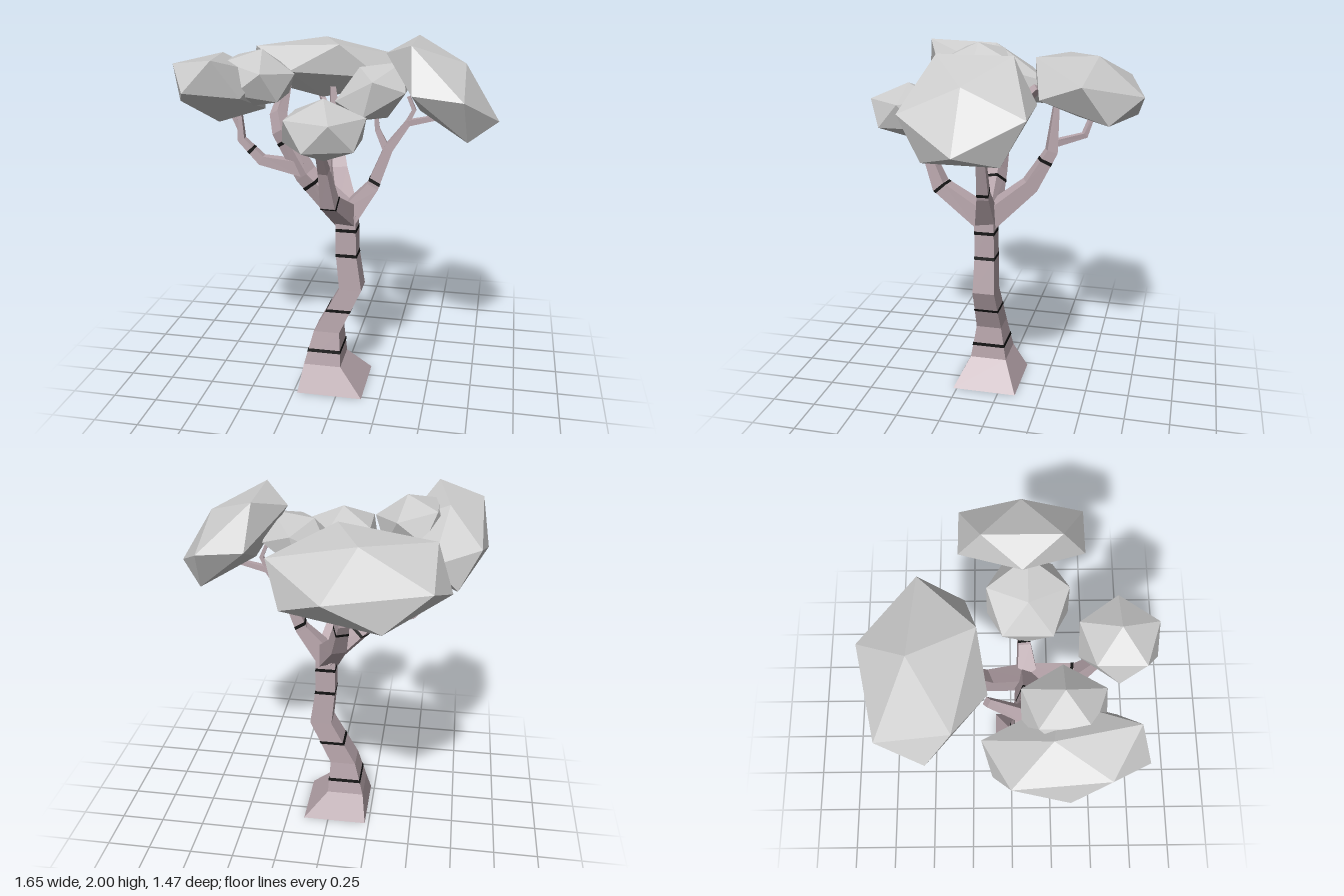
import * as THREE from 'three';

const bark = new THREE.MeshStandardMaterial({ color: 0xb8a6ac, flatShading: true });
const bandBlack = new THREE.MeshStandardMaterial({ color: 0x111111, flatShading: true });
const leaf = new THREE.MeshStandardMaterial({ color: 0xcccccc, flatShading: true });
const V = (x, y, z) => new THREE.Vector3(x, y, z);

// Closed skin over a row of four-cornered sections
function loft(name, sections, material) {
  const index = [];
  for (let i = 0; i < sections.length - 1; i++) {
    for (let j = 0; j < 4; j++) {
      const a = i * 4 + j, b = i * 4 + (j + 1) % 4;
      index.push(a, b, b + 4, a, b + 4, a + 4);
    }
  }
  const e = (sections.length - 1) * 4;
  index.push(0, 2, 1, 0, 3, 2, e, e + 1, e + 2, e, e + 2, e + 3);
  const geometry = new THREE.BufferGeometry().setFromPoints(sections.flat());
  geometry.setIndex(index);
  geometry.computeVertexNormals();
  const mesh = new THREE.Mesh(geometry, material);
  mesh.name = name;
  return mesh;
}

// Square limb through [x, y, z, half width]; bands are [segment, position along it]
function limb(name, path, bands = [], level = false) {
  const group = new THREE.Group();
  group.name = name;
  const pts = path.map(([x, y, z]) => V(x, y, z));
  const last = pts.length - 1;
  const run = pts[last].clone().sub(pts[0]);
  const side = level ? V(1, 0, 0) : V(run.z, 0, -run.x).normalize();
  const sections = pts.map((p, i) => {
    const t = V(0, 1, 0);
    if (!level) {
      t.set(0, 0, 0);
      if (i > 0) t.add(p.clone().sub(pts[i - 1]).normalize());
      if (i < last) t.add(pts[i + 1].clone().sub(p).normalize());
      t.normalize();
    }
    const a = side.clone().addScaledVector(t, -side.dot(t)).normalize();
    const b = t.clone().cross(a);
    const w = path[i][3];
    return [[1, 1], [-1, 1], [-1, -1], [1, -1]].map(([u, v]) =>
      p.clone().addScaledVector(a, u * w).addScaledVector(b, v * w));
  });
  group.add(loft(name + 'Wood', sections, bark));

  // Dark bark rings sit just proud of the wood
  for (const [s, t] of bands) {
    const d = 0.009 / pts[s].distanceTo(pts[s + 1]);
    const ring = [t - d, t + d].map((k) => {
      const centre = pts[s].clone().lerp(pts[s + 1], k);
      return sections[s].map((c, j) =>
        c.clone().lerp(sections[s + 1][j], k).sub(centre).multiplyScalar(1.03).add(centre));
    });
    group.add(loft('barkRing', ring, bandBlack));
  }
  return group;
}

// Faceted leaf clump: an icosahedron standing on a corner, squashed and tilted
function clump(name, centre, size, tiltX = 0, tiltZ = 0) {
  const geometry = new THREE.IcosahedronGeometry(1, 0);
  geometry.rotateZ(-Math.atan(2 / (1 + Math.sqrt(5))));
  geometry.scale(...size);
  geometry.computeVertexNormals();
  const mesh = new THREE.Mesh(geometry, leaf);
  mesh.name = name;
  mesh.position.set(...centre);
  mesh.rotation.set(THREE.MathUtils.degToRad(tiltX), 0, THREE.MathUtils.degToRad(tiltZ));
  return mesh;
}

export function createModel() {
  const tree = new THREE.Group();
  tree.name = 'tree';

  // Crooked trunk with a flared foot
  tree.add(limb('trunk', [
    [-0.04, 0, 0.085, 0.187], [-0.095, 0.15, 0.09, 0.107], [-0.075, 0.35, 0.088, 0.074],
    [0.06, 0.62, 0.088, 0.063], [0.035, 0.83, 0.088, 0.057], [0.033, 1.06, 0.09, 0.055],
  ], [[1, 0.43], [2, 0.5], [3, 0.97], [4, 0.62]], true));

  // Main branches
  const fork = [0.03, 1.04, 0.09, 0.058];
  tree.add(limb('frontBranch', [fork, [-0.01, 1.21, 0.365, 0.04],
    [-0.02, 1.4, 0.44, 0.025], [-0.02, 1.55, 0.56, 0.015]], [[0, 0.96]]));
  tree.add(limb('leftBranch', [fork, [0.17, 1.22, 0.07, 0.033], [0.25, 1.43, 0.06, 0.025],
    [0.35, 1.57, 0.05, 0.017], [0.52, 1.61, 0.05, 0.012]], [[1, 0.12]]));
  tree.add(limb('rightBranch', [fork, [-0.2, 1.27, 0.085, 0.045], [-0.33, 1.5, 0.08, 0.038],
    [-0.36, 1.58, 0.03, 0.034], [-0.35, 1.72, -0.12, 0.02]], [[0, 0.8], [1, 0.76]]));
  tree.add(limb('backBranch', [fork, [-0.06, 1.23, -0.14, 0.042],
    [-0.1, 1.42, -0.25, 0.03], [-0.12, 1.68, -0.27, 0.015]], [[1, 0.7]]));
  tree.add(limb('rightSideBranch', [[-0.21, 1.3, 0.085, 0.04], [-0.44, 1.34, 0.1, 0.026],
    [-0.55, 1.45, 0.1, 0.02], [-0.56, 1.66, 0.1, 0.011]], [[1, 0.5]]));

  // Twigs
  const twigs = {
    frontTwig: [[-0.02, 1.37, 0.43, 0.02], [-0.01, 1.49, 0.39, 0.015], [0, 1.58, 0.41, 0.011]],
    leftInnerTwig: [[0.24, 1.42, 0.06, 0.02], [0.19, 1.53, 0.065, 0.014], [0.18, 1.63, 0.07, 0.01]],
    leftOuterTwig: [[0.34, 1.56, 0.05, 0.014], [0.38, 1.64, 0.05, 0.011], [0.35, 1.71, 0.05, 0.009]],
    rightTwig: [[-0.55, 1.49, 0.1, 0.014], [-0.58, 1.56, 0.11, 0.011], [-0.61, 1.62, 0.12, 0.009]],
    backTwig: [[-0.1, 1.46, -0.25, 0.02], [-0.18, 1.5, -0.42, 0.016], [-0.24, 1.62, -0.46, 0.011]],
  };
  for (const [name, path] of Object.entries(twigs)) tree.add(limb(name, path));

  // Leaf clumps
  tree.add(clump('backLeaves', [-0.2, 1.765, -0.43], [0.5, 0.175, 0.36], -18));
  tree.add(clump('leftLeaves', [0.525, 1.765, 0.053], [0.37, 0.17, 0.37], 0, -42.3));
  tree.add(clump('frontLeaves', [0, 1.632, 0.53], [0.232, 0.153, 0.232]));
  tree.add(clump('leftInnerLeaves', [0.17, 1.73, 0.08], [0.236, 0.15, 0.236], 0, 30));
  tree.add(clump('rightInnerLeaves', [-0.41, 1.815, 0.235], [0.21, 0.15, 0.23], 0, -12));
  tree.add(clump('rightLeaves', [-0.605, 1.76, 0.235], [0.245, 0.18, 0.44], -18));
  return tree;
}
